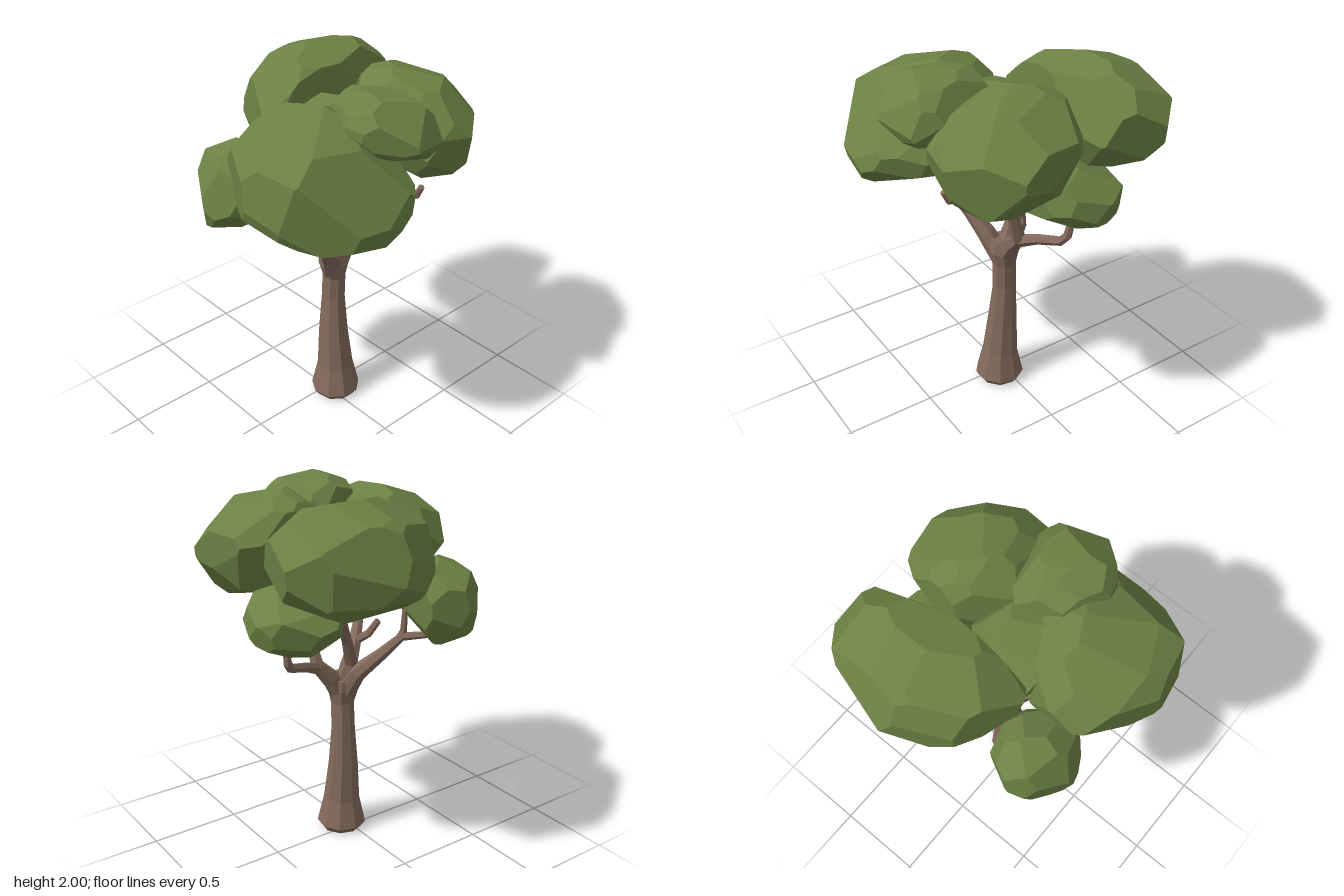
import * as THREE from 'three';
import { ConvexGeometry } from 'three/addons/geometries/ConvexGeometry.js';

const bark = new THREE.MeshStandardMaterial({ color: 0x836a5c, flatShading: true });
const leaf = new THREE.MeshStandardMaterial({ color: 0x6b8144, flatShading: true });

function seeded(seed) {
  let s = seed * 7919 + 17;
  return () => (s = (s * 16807) % 2147483647) / 2147483647;
}

// Tapered limb through [x, y, z, radius] stations, closed at both ends
function limb(name, stations, sides) {
  const pts = stations.map(s => new THREE.Vector3(s[0], s[1], s[2]));
  const up = new THREE.Vector3(0, 1, 0), pos = [], idx = [];
  const last = pts.length - 1, turn = new THREE.Quaternion();
  pts.forEach((p, i) => {
    const back = p.clone().sub(pts[Math.max(i - 1, 0)]).normalize();
    const ahead = pts[Math.min(i + 1, last)].clone().sub(p).normalize();
    turn.setFromUnitVectors(up, back.add(ahead).normalize());
    for (let k = 0; k < sides; k++) {
      const a = (k + 0.5) / sides * Math.PI * 2, r = stations[i][3];
      const v = new THREE.Vector3(Math.sin(a) * r, 0, Math.cos(a) * r).applyQuaternion(turn).add(p);
      pos.push(v.x, v.y, v.z);
    }
  });
  for (let i = 0; i < last; i++) {
    for (let k = 0; k < sides; k++) {
      const a = i * sides + k, b = i * sides + (k + 1) % sides;
      idx.push(a, b, b + sides, a, b + sides, a + sides);
    }
  }
  for (let k = 1; k < sides - 1; k++) {
    const t = last * sides;
    idx.push(0, k + 1, k, t, t + k, t + k + 1);
  }
  const geo = new THREE.BufferGeometry();
  geo.setAttribute('position', new THREE.Float32BufferAttribute(pos, 3));
  geo.setIndex(idx);
  geo.computeVertexNormals();
  const mesh = new THREE.Mesh(geo, bark);
  mesh.name = name;
  return mesh;
}

// How far an outline reaches in a direction
const reach = (outline, a, b) => Math.max(...outline.map(([u, v]) => u * a + v * b));

// Leaf clump: a solid cut by planes that touch its front [x, y], side [z, y] and top [x, z] outlines
function clump(name, seed, front, side, top, planes = 36) {
  const xs = front.map(p => p[0]), ys = front.map(p => p[1]), zs = side.map(p => p[0]);
  const box = new THREE.Box3(
    new THREE.Vector3(Math.min(...xs), Math.min(...ys), Math.min(...zs)),
    new THREE.Vector3(Math.max(...xs), Math.max(...ys), Math.max(...zs)));
  const size = box.getSize(new THREE.Vector3()), mid = box.getCenter(new THREE.Vector3());
  const f = front.map(([x, y]) => [x - mid.x, y - mid.y]);
  const s = side.map(([z, y]) => [z - mid.z, y - mid.y]);
  const t = top.map(([x, z]) => [x - mid.x, z - mid.z]);

  const rand = seeded(seed), duals = [];
  for (let i = 0; i < planes; i++) {
    const h = 1 - 2 * (i + 0.5) / planes, a = i * 2.39996 + seed, r = Math.sqrt(1 - h * h);
    const jitter = () => (rand() - 0.5) * 0.35;
    const n = new THREE.Vector3(r * Math.cos(a) + jitter(), h + jitter(), r * Math.sin(a) + jitter());
    n.divide(size).normalize();
    // joins the three outlines into one reach, exact for ellipsoids and for boxes
    const pairs = reach(f, n.x, n.y) ** 2 + reach(s, n.z, n.y) ** 2 + reach(t, n.x, n.z) ** 2;
    const axes = reach(f, n.x, 0) ** 2 + reach(f, 0, n.y) ** 2 + reach(s, n.z, 0) ** 2;
    duals.push(n.divideScalar(Math.sqrt(pairs - axes)));
  }
  // each triangle of plane points gives one corner of the cut solid
  const tri = new ConvexGeometry(duals).attributes.position, corners = [];
  const [a, b, c, n] = [0, 1, 2, 3].map(() => new THREE.Vector3());
  for (let i = 0; i < tri.count; i += 3) {
    a.fromBufferAttribute(tri, i);
    b.fromBufferAttribute(tri, i + 1);
    c.fromBufferAttribute(tri, i + 2);
    new THREE.Triangle(a, b, c).getNormal(n);
    corners.push(n.clone().divideScalar(n.dot(a)));
  }
  const raw = new THREE.Box3().setFromPoints(corners);
  const rawMid = raw.getCenter(new THREE.Vector3()), rawSize = raw.getSize(new THREE.Vector3());
  corners.forEach(v => v.sub(rawMid).divide(rawSize).multiply(size).add(mid));
  const mesh = new THREE.Mesh(new ConvexGeometry(corners), leaf);
  mesh.name = name;
  return mesh;
}

export function createModel() {
  const tree = new THREE.Group();
  tree.name = 'tree';

  // Trunk with flared foot and fork
  tree.add(limb('trunk', [
    [0.035, 0.005, 0.045, 0.115], [0.035, 0.04, 0.045, 0.14], [0.035, 0.2, 0.042, 0.103],
    [0.035, 0.42, 0.025, 0.084], [0.042, 0.65, 0.015, 0.066], [0.045, 0.8, 0.018, 0.065],
    [0.04, 0.88, 0.02, 0.085], [0.04, 0.95, 0.01, 0.08],
  ], 9));

  // Main branches and twigs
  const branches = {
    frontRightBranch: [[0.03, 0.84, 0.03, 0.062], [-0.04, 0.97, 0.08, 0.052], [-0.12, 1.08, 0.13, 0.038],
      [-0.2, 1.2, 0.2, 0.029], [-0.21, 1.42, 0.31, 0.022]],
    frontRightTwig: [[-0.11, 1.08, 0.13, 0.026], [-0.18, 1.13, 0.08, 0.022], [-0.21, 1.21, 0.035, 0.019]],
    backRightBranch: [[0.04, 0.87, 0, 0.062], [0.02, 1.0, -0.09, 0.048], [-0.08, 1.1, -0.16, 0.034],
      [-0.19, 1.19, -0.2, 0.024], [-0.34, 1.22, -0.35, 0.016]],
    backRightTwig: [[-0.17, 1.17, -0.19, 0.022], [-0.2, 1.22, -0.2, 0.02], [-0.2, 1.34, -0.21, 0.016]],
    backLeftBranch: [[0.04, 0.9, 0, 0.06], [0.035, 1.05, -0.05, 0.04], [0.1, 1.2, -0.1, 0.031],
      [0.19, 1.36, -0.18, 0.026], [0.21, 1.44, -0.24, 0.024], [0.25, 1.56, -0.29, 0.018]],
    frontLeftBranch: [[0.05, 0.84, 0.02, 0.062], [0.12, 0.95, 0.02, 0.052], [0.2, 1.04, 0.03, 0.04],
      [0.215, 1.2, 0.08, 0.029], [0.21, 1.36, 0.17, 0.026], [0.21, 1.44, 0.19, 0.02]],
    frontLeftTwig: [[0.21, 1.36, 0.17, 0.024], [0.21, 1.39, 0.3, 0.021], [0.21, 1.41, 0.45, 0.019],
      [0.21, 1.47, 0.48, 0.016]],
    sideBranch: [[0.19, 1.02, 0.03, 0.036], [0.3, 1.07, -0.02, 0.028], [0.43, 1.11, -0.07, 0.025],
      [0.46, 1.15, -0.09, 0.024], [0.48, 1.3, -0.11, 0.018]],
  };
  for (const [name, stations] of Object.entries(branches)) tree.add(limb(name, stations, 6));

  // Leaf clumps
  tree.add(clump('frontRightClump', 3,
    [[-0.72, 1.55], [-0.67, 1.82], [-0.36, 1.95], [-0.18, 1.95], [0, 1.85], [0.1, 1.67], [0.12, 1.55],
      [0.06, 1.45], [-0.26, 1.31], [-0.39, 1.31], [-0.59, 1.43]],
    [[0.59, 1.73], [0.72, 1.54], [0.72, 1.45], [0.64, 1.38], [0.28, 1.31], [0, 1.38], [-0.14, 1.5],
      [-0.16, 1.65], [-0.08, 1.85], [0.1, 1.95], [0.35, 1.94]],
    [[-0.72, 0.43], [-0.7, 0.17], [-0.62, -0.01], [-0.43, -0.16], [-0.28, -0.16], [-0.15, -0.06],
      [0.06, 0.1], [0.12, 0.3], [0.1, 0.5], [-0.06, 0.65], [-0.15, 0.72], [-0.38, 0.71], [-0.67, 0.49]]));
  tree.add(clump('backLeftClump', 5,
    [[-0.24, 1.72], [-0.22, 1.58], [-0.08, 1.48], [0.3, 1.46], [0.58, 1.5], [0.7, 1.62], [0.7, 1.78],
      [0.6, 1.92], [0.3, 2], [0.1, 1.99], [-0.12, 1.9]],
    [[-0.1, 1.74], [-0.13, 1.95], [-0.44, 2], [-0.66, 1.9], [-0.72, 1.71], [-0.65, 1.5], [-0.34, 1.46],
      [-0.12, 1.55]],
    [[-0.24, -0.2], [-0.22, -0.43], [0.1, -0.72], [0.55, -0.68], [0.65, -0.6], [0.7, -0.53], [0.7, -0.35],
      [0.62, -0.28], [0.2, -0.12], [-0.08, -0.14]]));
  tree.add(clump('frontLeftClump', 8,
    [[0.09, 1.66], [0.12, 1.85], [0.25, 1.98], [0.42, 1.99], [0.55, 1.93], [0.66, 1.83], [0.72, 1.66],
      [0.59, 1.44], [0.33, 1.45], [0.12, 1.57]],
    [[0.6, 1.74], [0.57, 1.55], [0.48, 1.45], [0.22, 1.44], [0, 1.52], [-0.09, 1.75], [-0.07, 1.9],
      [0, 1.98], [0.3, 1.99], [0.42, 1.92]],
    [[0.26, -0.07], [0.3, -0.09], [0.42, -0.08], [0.6, -0.02], [0.65, 0.03], [0.72, 0.34], [0.65, 0.42],
      [0.43, 0.6], [0.23, 0.57], [0.1, 0.35], [0.1, 0.15]]));
  tree.add(clump('frontTopClump', 11,
    [[-0.25, 1.86], [-0.2, 1.96], [-0.02, 2], [0.14, 1.97], [0.24, 1.85], [0.21, 1.72], [0.16, 1.68],
      [-0.05, 1.72], [-0.18, 1.78]],
    [[0.68, 1.79], [0.66, 1.73], [0.5, 1.68], [0.2, 1.68], [0.1, 1.8], [0.15, 1.95], [0.33, 2],
      [0.45, 1.99], [0.59, 1.91]],
    [[-0.21, 0.25], [-0.18, 0.2], [0.02, 0.1], [0.14, 0.14], [0.2, 0.3], [0.24, 0.5], [0.21, 0.58],
      [0.1, 0.66], [0, 0.68], [-0.11, 0.62], [-0.25, 0.5]], 30));
  tree.add(clump('backRightClump', 14,
    [[-0.6, 1.23], [-0.49, 1.17], [-0.39, 1.17], [-0.26, 1.23], [-0.19, 1.3], [-0.18, 1.48],
      [-0.25, 1.6], [-0.4, 1.63], [-0.53, 1.55], [-0.59, 1.42]],
    [[-0.51, 1.39], [-0.51, 1.31], [-0.42, 1.17], [-0.31, 1.18], [-0.18, 1.22], [-0.04, 1.32],
      [-0.04, 1.48], [-0.15, 1.6], [-0.3, 1.63], [-0.43, 1.58], [-0.5, 1.48]],
    [[-0.6, -0.25], [-0.52, -0.42], [-0.46, -0.51], [-0.29, -0.5], [-0.22, -0.45], [-0.18, -0.3],
      [-0.2, -0.12], [-0.3, -0.04], [-0.45, -0.04], [-0.53, -0.1]], 28));
  tree.add(clump('sideClump', 17,
    [[0.22, 1.42], [0.23, 1.36], [0.33, 1.29], [0.47, 1.23], [0.52, 1.23], [0.67, 1.33], [0.68, 1.41],
      [0.6, 1.5], [0.55, 1.55], [0.35, 1.57], [0.25, 1.5]],
    [[0.16, 1.44], [0.13, 1.36], [-0.05, 1.25], [-0.2, 1.23], [-0.27, 1.24], [-0.4, 1.38],
      [-0.36, 1.44], [-0.18, 1.55], [-0.03, 1.57], [0.09, 1.53]],
    [[0.62, -0.28], [0.66, -0.25], [0.68, -0.08], [0.65, 0.05], [0.55, 0.15], [0.35, 0.15], [0.23, 0],
      [0.22, -0.2], [0.3, -0.36], [0.45, -0.4]], 30));
  tree.add(clump('middleClump', 20,
    [[-0.24, 1.7], [-0.18, 1.82], [0, 1.87], [0.15, 1.82], [0.23, 1.7], [0.14, 1.56], [0, 1.52],
      [-0.16, 1.56]],
    [[-0.19, 1.6], [-0.18, 1.68], [-0.08, 1.8], [0.05, 1.87], [0.2, 1.85], [0.24, 1.7], [0.15, 1.55],
      [-0.05, 1.52]],
    [[-0.24, -0.05], [-0.2, -0.18], [-0.1, -0.19], [0.1, -0.14], [0.2, -0.1], [0.23, 0], [0.2, 0.2],
      [0, 0.24], [-0.2, 0.2]], 28));
  return tree;
}
